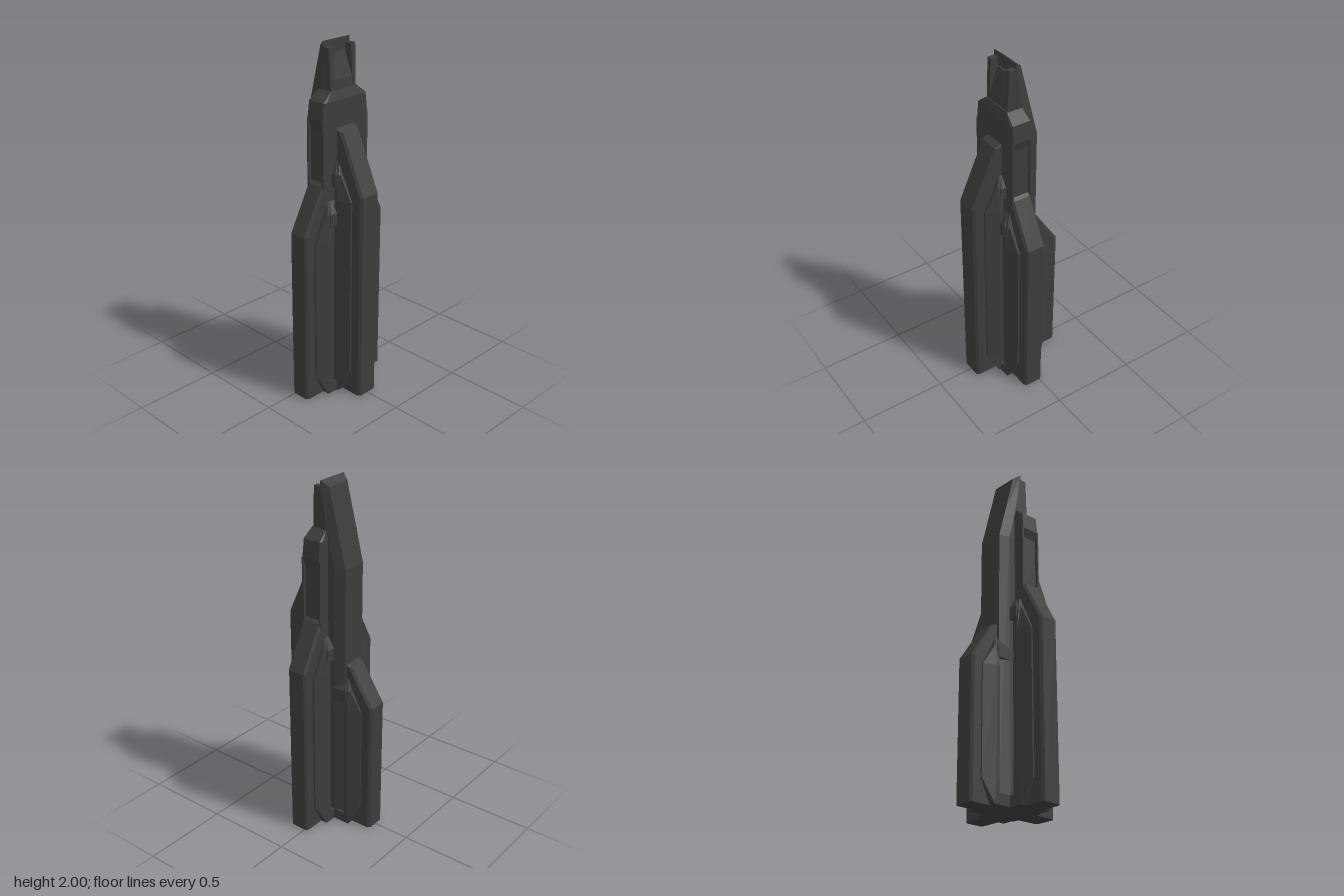
import * as THREE from 'three';

const material = new THREE.MeshStandardMaterial({ color: 0x3c3c3c, flatShading: true, side: THREE.DoubleSide });

// Stacks six-sided sections that face +z; level = [y, outer reach, outer half width, inner reach, inner half width, back]
function loft(name, levels) {
  const rings = levels.map(([y, ro, ho, ri, hi, back = 0]) => {
    const mid = Math.max(back, ri);
    return [[-hi, back], [-hi, mid], [-ho, ro], [ho, ro], [hi, mid], [hi, back]].map(([x, z]) => [x, y, z]);
  });
  const pos = [];
  const tri = (a, b, c) => pos.push(...a, ...b, ...c);
  for (let k = 0; k < rings.length - 1; k++) {
    for (let i = 0; i < 6; i++) {
      const j = (i + 1) % 6, lo = rings[k], up = rings[k + 1];
      tri(lo[i], lo[j], up[j]);
      tri(lo[i], up[j], up[i]);
    }
  }
  const bottom = rings[0], top = rings[rings.length - 1];
  for (let i = 1; i < 5; i++) {
    tri(top[0], top[i], top[i + 1]);
    tri(bottom[0], bottom[i + 1], bottom[i]);
  }
  const g = new THREE.BufferGeometry();
  g.setAttribute('position', new THREE.Float32BufferAttribute(pos, 3));
  g.computeVertexNormals();
  const mesh = new THREE.Mesh(g, material);
  mesh.name = name;
  return mesh;
}

function box(name, x0, x1, y0, y1, z0, z1) {
  const mesh = new THREE.Mesh(new THREE.BoxGeometry(x1 - x0, y1 - y0, z1 - z0), material);
  mesh.position.set((x0 + x1) / 2, (y0 + y1) / 2, (z0 + z1) / 2);
  mesh.name = name;
  return mesh;
}

// One wing: a bevelled fin, a wider chamfered shoulder and recessed side panels
function wing({ name, x = 0, angle, profile, half, mid, shoulder, wide, reach, knee, top }) {
  const g = new THREE.Group();
  g.name = name;
  g.position.x = x;
  g.rotation.y = angle;
  g.add(loft('fin', profile.map(([r, y]) => [y, r, half - 0.012, r - 0.014, half])));
  g.add(loft('shoulder', [
    [0, mid + 0.01, wide, mid, wide, mid - 0.02],
    [0.13, reach, shoulder, mid, wide, mid - 0.02],
    [knee, reach, shoulder, mid, wide, mid - 0.02],
    [top, mid + 0.005, wide - 0.02, mid, wide - 0.01, mid - 0.02],
    [top + 0.06, mid - 0.02, half, mid - 0.025, half, mid - 0.04],
  ]));
  g.add(loft('recessedPanel', [
    [0, mid, wide - 0.025, mid, wide - 0.025],
    [top, mid, wide - 0.025, mid, wide - 0.025],
  ]));
  g.add(box('panelSill', -wide, wide, 0, 0.06, 0, mid - 0.01));
  g.add(loft('panelLintel', [
    [top - 0.07, mid - 0.01, wide, mid - 0.01, wide],
    [top, mid - 0.01, wide, mid - 0.01, wide],
    [top + 0.06, mid - 0.04, half, mid - 0.04, half],
  ]));
  return g;
}

export function createModel() {
  const model = new THREE.Group();
  model.name = 'tower';

  // Left and right wings, of different heights
  model.add(wing({
    name: 'leftWing', angle: Math.PI / 2, half: 0.067, mid: 0.14, wide: 0.105, shoulder: 0.077,
    reach: 0.215, knee: 1.17, top: 1.31,
    profile: [[0.282, 0], [0.282, 1.21], [0.135, 1.535], [0.09, 1.56]],
  }));
  model.add(wing({
    name: 'rightWing', angle: -Math.PI / 2, half: 0.06, mid: 0.15, wide: 0.1, shoulder: 0.068,
    reach: 0.22, knee: 0.74, top: 0.86,
    profile: [[0.283, 0], [0.283, 0.78], [0.145, 0.99], [0.1, 1.01]],
  }));

  // Matching front and back wings, each with an upper pier
  for (const [side, angle] of [['front', 0], ['back', Math.PI]]) {
    const g = wing({
      name: side + 'Wing', x: 0.04, angle, half: 0.06, mid: 0.16, wide: 0.1, shoulder: 0.07,
      reach: 0.235, knee: 0.95, top: 1.1,
      profile: [[0.298, 0], [0.298, 1], [0.165, 1.25], [0.14, 1.27]],
    });
    g.add(loft('upperPier', [
      [1.1, 0.148, 0.06, 0.14, 0.06], [1.55, 0.148, 0.06, 0.14, 0.06],
      [1.6, 0.165, 0.055, 0.15, 0.06], [1.7, 0.155, 0.052, 0.14, 0.06],
      [1.75, 0.093, 0.045, 0.09, 0.045],
    ]));
    for (const s of [-1, 1]) {
      const rail = box('pierRail', -0.005, 0.005, 1.2, 1.6, 0.1, 0.165);
      rail.position.x = s * 0.055;
      g.add(rail);
    }
    model.add(g);
  }

  // Central shaft, its chamfered side facing -x
  const shaft = new THREE.Group();
  shaft.name = 'shaft';
  shaft.rotation.y = -Math.PI / 2;
  shaft.add(loft('shaftBody', [
    [0, 0.115, 0.075, 0.06, 0.098, -0.1], [1.55, 0.115, 0.075, 0.06, 0.098, -0.1],
    [1.7, 0.0775, 0.075, 0.0225, 0.097, -0.1], [1.75, 0.065, 0.075, 0.01, 0.096, -0.08],
  ]));
  shaft.add(loft('spire', [
    [1.75, 0.065, 0.075, 0.01, 0.096, -0.03],
    [1.97, 0.01, 0.075, -0.025, 0.096, -0.03],
    [2, -0.029, 0.094, -0.03, 0.096, -0.03],
  ]));
  model.add(shaft);

  // Notch beside the spire: sloped floor between two tapering cheeks
  const notch = new THREE.Group();
  notch.name = 'notch';
  notch.rotation.y = Math.PI / 2;
  notch.add(loft('notchFloor', [
    [1.73, 0.082, 0.07, 0.08, 0.07, 0.02], [1.8, 0.075, 0.07, 0.07, 0.07, 0.02],
    [1.93, 0.04, 0.052, 0.04, 0.052, 0.02],
  ]));
  for (const s of [-1, 1]) {
    const cheek = loft('notchCheek', [
      [1.73, 0.082, 0.011, 0.082, 0.011, 0.02], [1.97, 0.07, 0.016, 0.07, 0.016, 0.02],
    ]);
    cheek.position.x = s * 0.08;
    notch.add(cheek);
  }
  model.add(notch);
  return model;
}
